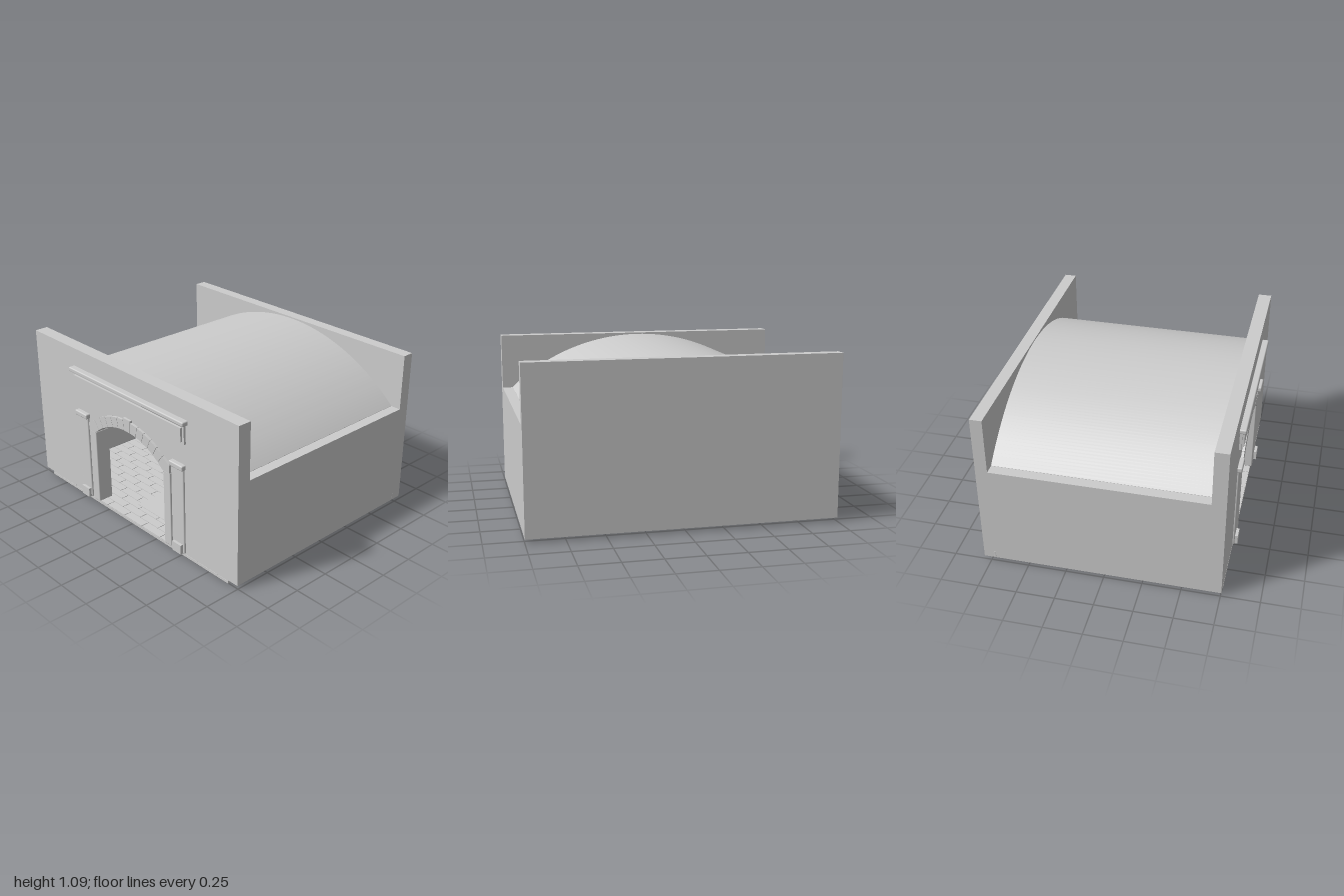
import * as THREE from 'three';
import { mergeGeometries } from 'three/addons/utils/BufferGeometryUtils.js';
import { RoundedBoxGeometry } from 'three/addons/geometries/RoundedBoxGeometry.js';

const material = new THREE.MeshStandardMaterial({ color: 0xcccccc });
const FRONT = 0.755, BACK = -0.797, BASE = 0.025;
const ARCH_Y = 0.182, ARCH_IN = 0.508, ARCH_OUT = 0.58;

export function createModel() {
  const model = new THREE.Group();
  model.name = 'vaultedHall';

  const add = (name, geometry) => {
    const mesh = new THREE.Mesh(geometry, material);
    mesh.name = name;
    model.add(mesh);
    return mesh;
  };
  // Box given by its limits, optionally with rounded edges
  const box = (x0, x1, y0, y1, z0, z1, radius = 0) => {
    const size = [x1 - x0, y1 - y0, z1 - z0];
    const geometry = radius
      ? new RoundedBoxGeometry(...size, 2, radius)
      : new THREE.BoxGeometry(...size);
    return geometry.translate((x0 + x1) / 2, (y0 + y1) / 2, (z0 + z1) / 2);
  };
  const extrude = (shape, z0, z1) => new THREE.ExtrudeGeometry(shape, {
    depth: z1 - z0, bevelEnabled: false, curveSegments: 48,
  }).translate(0, 0, z0);
  // Point on the doorway arch, angle in degrees from the crown
  const archPoint = (degrees, radius) => {
    const a = THREE.MathUtils.degToRad(degrees);
    return new THREE.Vector2(Math.sin(a) * radius, ARCH_Y + Math.cos(a) * radius);
  };

  // Front wall, notched by the arched doorway
  const wall = new THREE.Shape();
  wall.moveTo(-1, BASE);
  wall.lineTo(-0.38, BASE);
  for (let i = 0; i <= 24; i++) {
    const p = archPoint(-43.7 + (87.4 * i) / 24, 0.55);
    wall.lineTo(p.x, p.y);
  }
  wall.lineTo(0.38, BASE);
  wall.lineTo(1, BASE);
  wall.lineTo(1, 1.09);
  wall.lineTo(-1, 1.09);
  wall.closePath();
  add('frontWall', extrude(wall, 0.665, FRONT));

  // Back and side walls
  add('backWall', box(-1, 1, BASE, 1.09, BACK, -0.718));
  for (const s of [-1, 1]) {
    const x = s * 0.96;
    add('sideWall', box(x - 0.04, x + 0.04, BASE, 0.713, -0.718, 0.665));
  }
  // Low curb along the back, its ends just showing outside
  add('backCurb', box(-1.001, 1.001, BASE, 0.075, -0.737, -0.713, 0.008));

  // Barrel vault roof
  const radius = 1.367, centreY = -0.287, half = Math.asin(0.93 / radius);
  const vault = new THREE.Shape();
  vault.absarc(0, centreY, radius, Math.PI / 2 - half, Math.PI / 2 + half, false);
  vault.lineTo(-0.93, 0.71);
  vault.lineTo(-0.9, 0.71);
  vault.absarc(0, centreY, radius - 0.025, Math.PI / 2 + half, Math.PI / 2 - half, true);
  vault.lineTo(0.93, 0.71);
  vault.closePath();
  add('vaultRoof', extrude(vault, -0.718, 0.665));

  // Floor slab with staggered paving
  add('floorSlab', box(-0.92, 0.92, 0, 0.018, -0.713, FRONT));
  const tiles = [];
  const rows = 24, depth = (FRONT + 0.713) / rows, length = 0.184, gap = 0.004;
  for (let r = 0; r < rows; r++) {
    const z = -0.713 + r * depth;
    for (let i = 0; i <= 10; i++) {
      const start = -0.92 + (i - (r % 2) * 0.5) * length;
      const x0 = Math.max(start, -0.92), x1 = Math.min(start + length, 0.92);
      if (x1 - x0 < 0.02) continue;
      tiles.push(box(x0 + gap / 2, x1 - gap / 2, 0.015, 0.024, z + gap / 2, z + depth - gap / 2));
    }
  }
  add('floorTiles', mergeGeometries(tiles));
  add('centreSlab', box(-0.14, 0.2, 0.015, 0.027, 0.18, 0.6));

  // Doorway: wedge stones, corner stones and keystone
  const stone = (points) => extrude(new THREE.Shape(points), 0.66, 0.772);
  const first = 3.5, last = 36.5, count = 5, step = (last - first) / count;
  for (const s of [-1, 1]) {
    for (let i = 0; i < count; i++) {
      const a = s * (first + i * step + 0.15), b = s * (first + (i + 1) * step - 0.15);
      const mid = (a + b) / 2;
      add('archStone', stone([
        archPoint(a, ARCH_IN), archPoint(mid, ARCH_IN), archPoint(b, ARCH_IN),
        archPoint(b, ARCH_OUT), archPoint(mid, ARCH_OUT), archPoint(a, ARCH_OUT),
      ]));
    }
    add('archCornerStone', stone([
      archPoint(s * 36.6, ARCH_IN), new THREE.Vector2(s * 0.345, 0.556),
      new THREE.Vector2(s * 0.41, 0.556), new THREE.Vector2(s * 0.41, 0.61),
      archPoint(s * 36.6, ARCH_OUT),
    ]));
  }
  add('keystone', stone([
    new THREE.Vector2(-0.03, 0.688), new THREE.Vector2(0.03, 0.688),
    new THREE.Vector2(0.036, 0.775), new THREE.Vector2(-0.036, 0.775),
  ]));

  // Door jambs and flanking pilasters
  for (const s of [-1, 1]) {
    const pair = (name, x0, x1, ...rest) =>
      add(name, box(Math.min(s * x0, s * x1), Math.max(s * x0, s * x1), ...rest));
    pair('doorJamb', 0.345, 0.41, BASE, 0.555, 0.66, 0.767, 0.006);
    pair('pilasterShaft', 0.43, 0.535, BASE, 0.628, 0.72, 0.767, 0.008);
    pair('pilasterCap', 0.42, 0.545, 0.625, 0.66, 0.72, 0.786, 0.008);
    pair('pilasterFoot', 0.44, 0.52, BASE, 0.09, 0.72, 0.786);
  }

  // Panel and cornice over the doorway
  add('panelFrame', box(-0.55, 0.55, 0.805, 0.935, 0.74, 0.77));
  add('panelFace', box(-0.535, 0.535, 0.822, 0.915, 0.74, 0.784));
  add('cornice', box(-0.57, 0.57, 0.935, 0.965, 0.74, 0.797, 0.008));

  return model;
}
